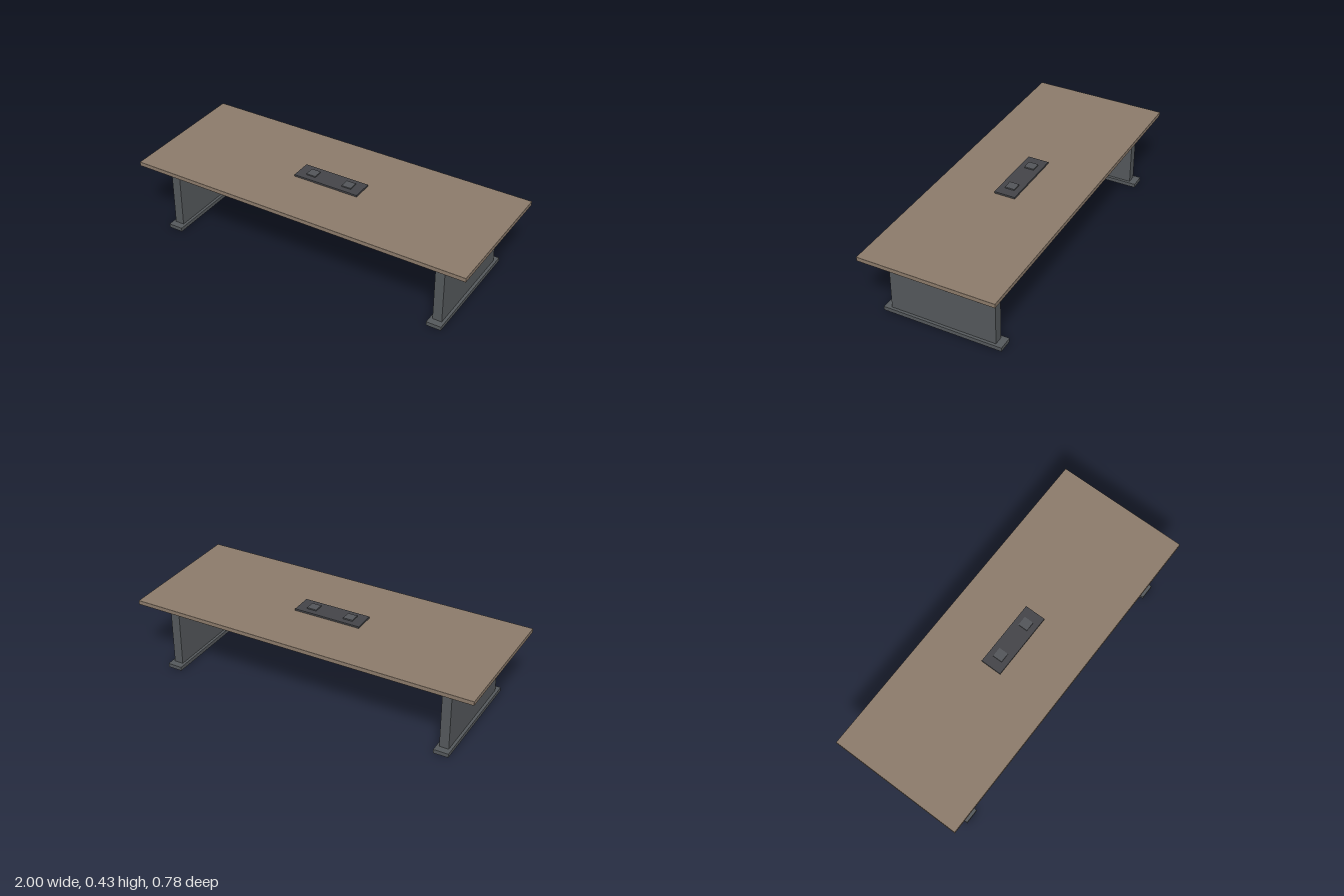
import * as THREE from 'three';
import { RoundedBoxGeometry } from 'three/addons/geometries/RoundedBoxGeometry.js';

const paint = (color) => new THREE.MeshStandardMaterial({ color });

export function createModel() {
  const table = new THREE.Group();
  table.name = 'conferenceTable';
  const wood = paint(0x8c7b6b);
  const panelGrey = paint(0x55595c);
  const darkGrey = paint(0x444549);
  const socketGrey = paint(0x54565a);

  // Box given by its centre x, its bottom and top heights, width and depth
  function box(name, material, x, y0, y1, width, depth, radius = 0) {
    const height = y1 - y0;
    const geometry = radius
      ? new RoundedBoxGeometry(width, height, depth, 1, radius)
      : new THREE.BoxGeometry(width, height, depth);
    const mesh = new THREE.Mesh(geometry, material);
    mesh.name = name;
    mesh.position.set(x, (y0 + y1) / 2, 0);
    table.add(mesh);
  }

  // Tabletop and the beam below it
  box('tabletop', wood, 0, 0.392, 0.416, 2, 0.778, 0.002);
  box('crossBeam', darkGrey, 0, 0.353, 0.383, 1.78, 0.111);

  // Power and cable hub in the middle of the top
  box('hubPlate', darkGrey, 0, 0.416, 0.426, 0.39, 0.122);

  for (const [side, s] of [['left', 1], ['right', -1]]) {
    box(side + 'LegPanel', panelGrey, s * 0.823, 0.021, 0.367, 0.053, 0.611);
    box(side + 'Foot', panelGrey, s * 0.823, 0, 0.022, 0.085, 0.69);
    box(side + 'Socket', socketGrey, s * 0.111, 0.426, 0.433, 0.056, 0.056);
  }
  return table;
}
